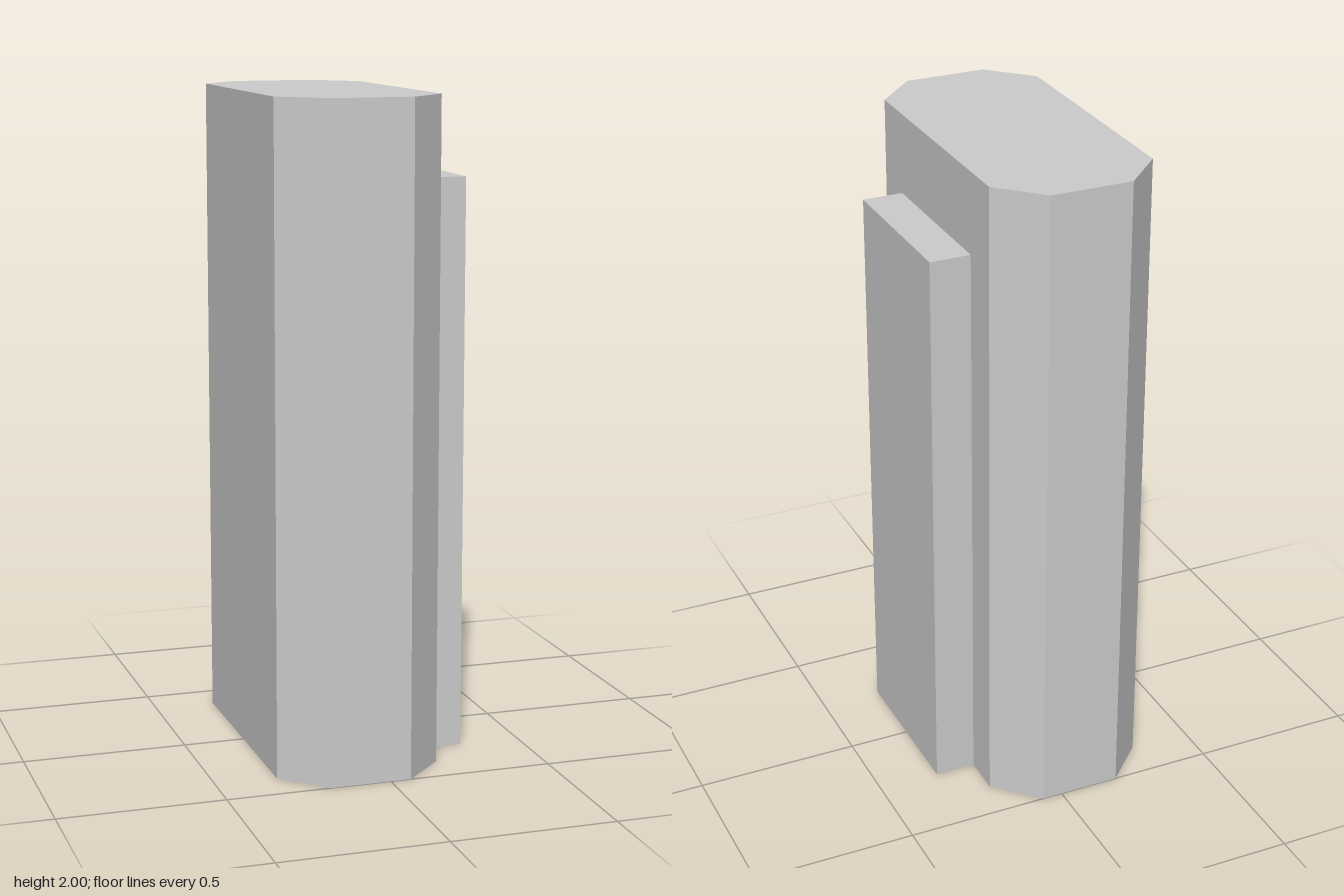
import * as THREE from 'three';

const material = new THREE.MeshStandardMaterial({
  color: 0xcccccc, flatShading: true, side: THREE.DoubleSide,
});

// Upright walls along an open path of [x, z] points, facing outward
function walls(path, height) {
  const positions = [];
  for (let i = 0; i < path.length - 1; i++) {
    const [ax, az] = path[i];
    const [bx, bz] = path[i + 1];
    positions.push(ax, 0, az, bx, 0, bz, bx, height, bz);
    positions.push(ax, 0, az, bx, height, bz, ax, height, az);
  }
  const geometry = new THREE.BufferGeometry();
  geometry.setAttribute('position', new THREE.Float32BufferAttribute(positions, 3));
  geometry.computeVertexNormals();
  return geometry;
}

function flatShape(points) {
  return new THREE.ShapeGeometry(new THREE.Shape(points.map(([u, v]) => new THREE.Vector2(u, v))));
}

// Horizontal, upward-facing lid over a path of [x, z] points
function lid(path, height) {
  return flatShape(path.map(([x, z]) => [x, -z])).rotateX(-Math.PI / 2).translate(0, height, 0);
}

export function createModel() {
  const model = new THREE.Group();
  const add = (name, geometry) => {
    const mesh = new THREE.Mesh(geometry, material);
    mesh.name = name;
    model.add(mesh);
  };

  const left = -0.3125, right = 0.1875, outer = 0.3125;
  const depth = 0.5, chamfer = 0.125, bodyHeight = 2;
  const panelDepth = 0.25, panelHeight = 1.75;
  const flat = depth - chamfer;

  // Hollow chamfered body, open underneath
  const bodyPath = [
    [right, -flat], [right - chamfer, -depth], [left + chamfer, -depth], [left, -flat],
    [left, flat], [left + chamfer, depth], [right - chamfer, depth], [right, flat],
  ];
  add('bodyWalls', walls(bodyPath, bodyHeight));
  add('bodyTop', lid(bodyPath, bodyHeight));

  // Side wall, cut away where the panel opens into the body
  const notchedWall = [
    [-flat, 0], [-panelDepth, 0], [-panelDepth, panelHeight], [panelDepth, panelHeight],
    [panelDepth, 0], [flat, 0], [flat, bodyHeight], [-flat, bodyHeight],
  ];
  add('notchedSideWall', flatShape(notchedWall).rotateY(Math.PI / 2).translate(right, 0, 0));

  // Shallow hollow side panel, also open underneath
  const panelPath = [
    [right, panelDepth], [outer, panelDepth], [outer, -panelDepth], [right, -panelDepth],
  ];
  add('panelWalls', walls(panelPath, panelHeight));
  add('panelTop', lid(panelPath, panelHeight));

  return model;
}
